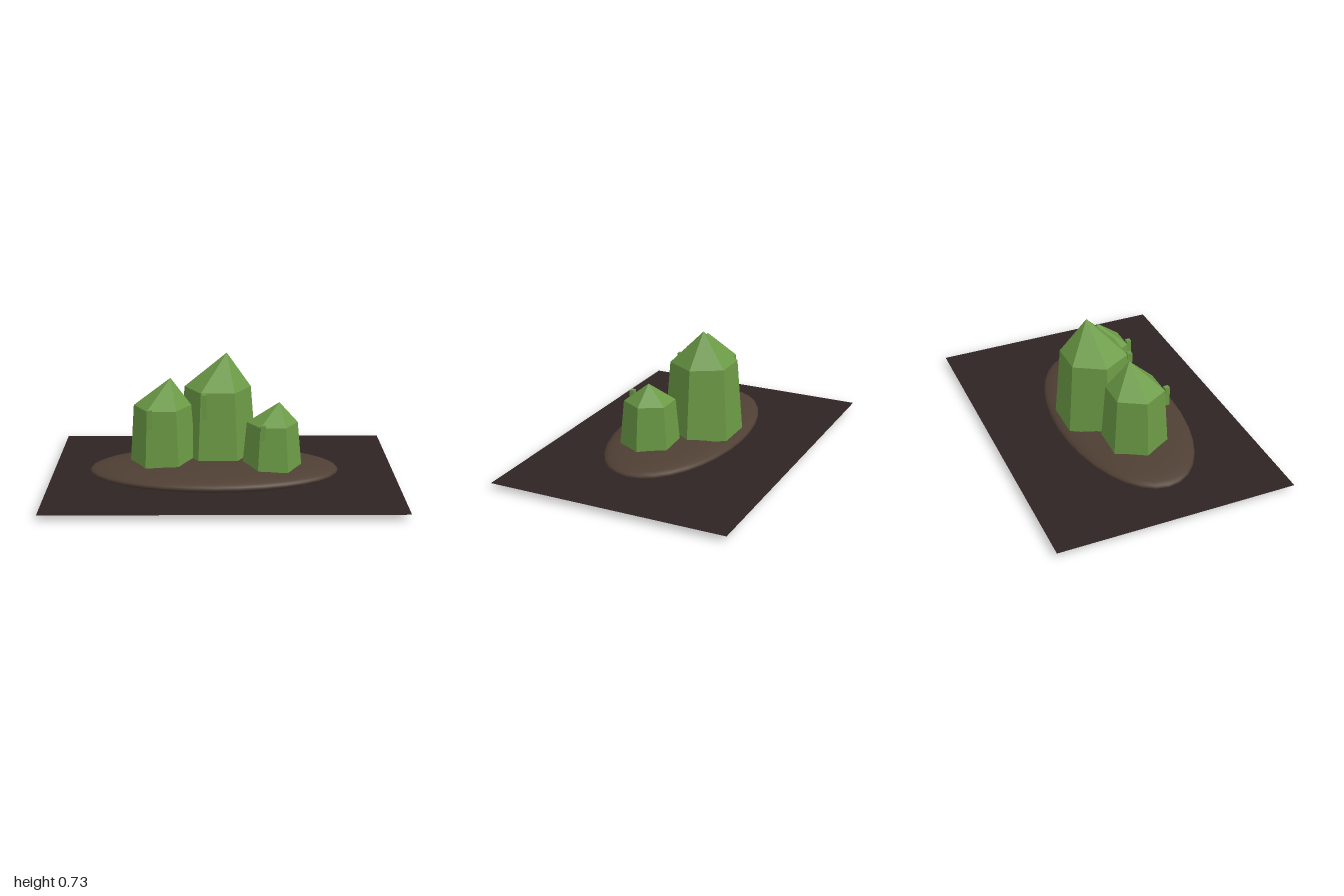
import * as THREE from 'three';

const material = (name, color) => {
  const m = new THREE.MeshStandardMaterial({ color });
  m.name = name;
  return m;
};

function addMesh(parent, name, geometry, mat, x = 0, y = 0, z = 0) {
  const mesh = new THREE.Mesh(geometry, mat);
  mesh.name = name;
  mesh.position.set(x, y, z);
  parent.add(mesh);
  return mesh;
}

// Separate the faces so that each facet is lit flat
function faceted(geometry) {
  const g = geometry.toNonIndexed();
  g.computeVertexNormals();
  return g;
}

export function createModel() {
  const model = new THREE.Group();
  model.name = 'crystalCluster';
  const green = material('crystal green', 0x6b9a45);
  const earth = material('mound brown', 0x4f3f34);
  const soil = material('ground dark brown', 0x2e2424);
  soil.side = THREE.DoubleSide;

  // Ground sheet, cutting through the lower half of the mound
  addMesh(model, 'ground', new THREE.PlaneGeometry(2, 1.4).rotateX(-Math.PI / 2), soil, 0, 0.033, 0);

  // Flattened mound
  addMesh(model, 'mound', new THREE.SphereGeometry(1, 32, 20).scale(0.725, 0.067, 0.37), earth, -0.055, 0.067, 0.042);

  // Each crystal: tapered six-sided shaft, off-centre point and a small chip on the front
  const base = 0.11;
  const crystals = [
    { name: 'tallCrystal', x: -0.033, z: -0.093, r0: 0.228, r1: 0.194, top: 0.53, apex: [0.02, 0.727, -0.113],
      chip: [-0.11, 0.457, 0.095], chipHeight: 0.145 },
    { name: 'leftCrystal', x: -0.352, z: 0.024, r0: 0.19, r1: 0.166, top: 0.45, apex: [-0.305, 0.607, 0.008],
      chip: [-0.42, 0.405, 0.185], chipHeight: 0.115 },
    { name: 'smallCrystal', x: 0.28, z: 0.098, r0: 0.171, r1: 0.146, top: 0.368, apex: [0.32, 0.482, 0.083],
      chip: [0.222, 0.345, 0.238], chipHeight: 0.085 },
  ];
  for (const c of crystals) {
    const crystal = new THREE.Group();
    crystal.name = c.name;
    model.add(crystal);

    const height = c.top - base;
    const shaft = new THREE.CylinderGeometry(c.r1, c.r0, height, 6, 1, false, Math.PI / 6);
    addMesh(crystal, 'shaft', faceted(shaft), green, c.x, base + height / 2, c.z);

    // Move the cone's tip to the off-centre apex
    const rise = c.apex[1] - c.top;
    const tip = new THREE.ConeGeometry(c.r1, rise, 6, 1, true, Math.PI / 6);
    const p = tip.attributes.position;
    for (let i = 0; i < p.count; i++) {
      if (p.getY(i) > 0) p.setXYZ(i, c.apex[0] - c.x, rise / 2, c.apex[2] - c.z);
    }
    addMesh(crystal, 'point', faceted(tip), green, c.x, c.top + rise / 2, c.z);

    addMesh(crystal, 'chip', new THREE.BoxGeometry(0.028, c.chipHeight, 0.028), green, ...c.chip);
  }
  return model;
}
